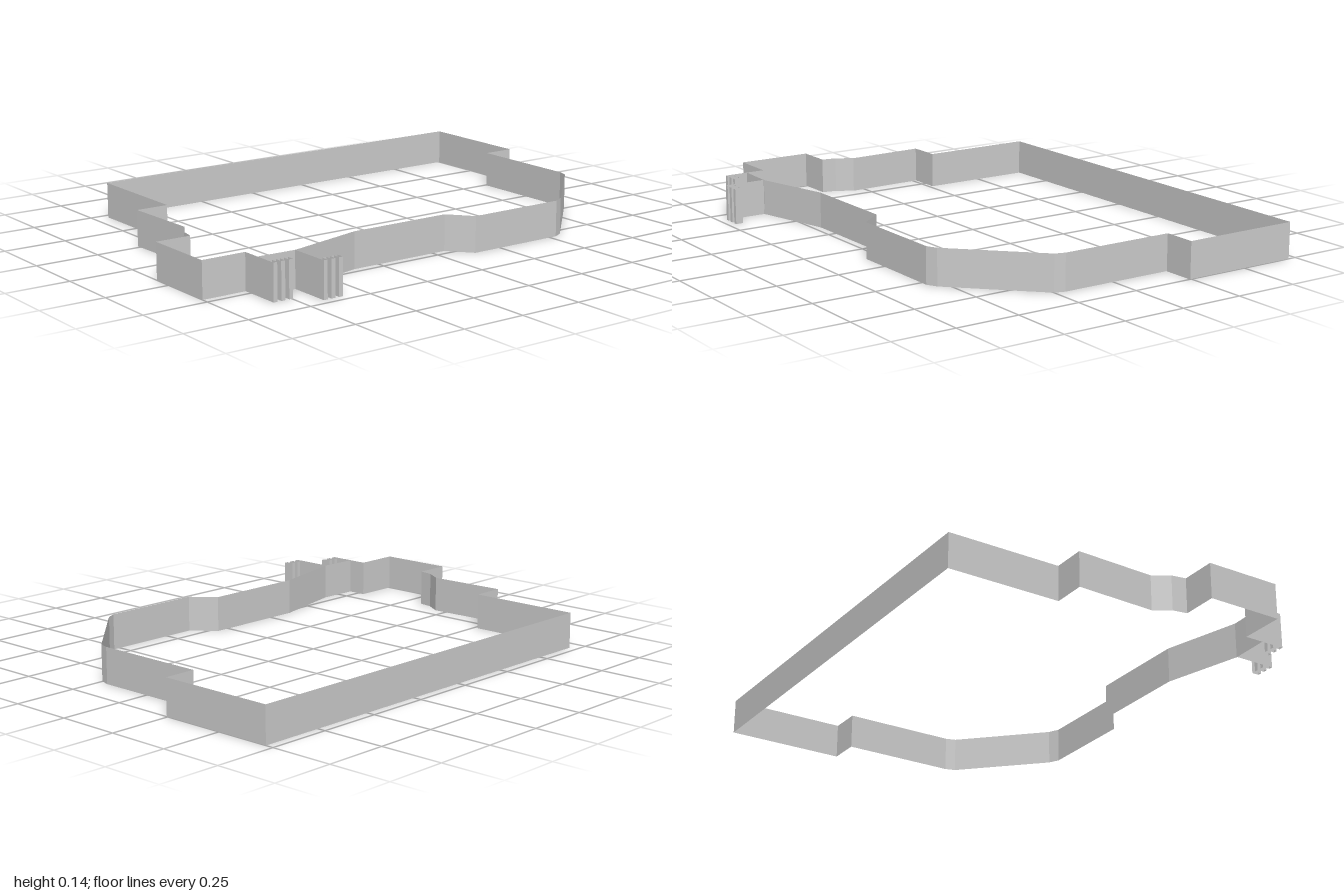
import * as THREE from 'three';

const HEIGHT = 0.14;
const material = new THREE.MeshStandardMaterial({
  color: 0xcccccc, flatShading: true, side: THREE.DoubleSide,
});

// Thin upright wall standing on a path of [x, z] points
function wall(name, path) {
  const positions = [];
  for (let i = 0; i < path.length - 1; i++) {
    const [ax, az] = path[i];
    const [bx, bz] = path[i + 1];
    positions.push(
      ax, 0, az, bx, 0, bz, bx, HEIGHT, bz,
      ax, 0, az, bx, HEIGHT, bz, ax, HEIGHT, az,
    );
  }
  const geometry = new THREE.BufferGeometry();
  geometry.setAttribute('position', new THREE.Float32BufferAttribute(positions, 3));
  geometry.computeVertexNormals();
  const mesh = new THREE.Mesh(geometry, material);
  mesh.name = name;
  return mesh;
}

// Straight arm ending in a comb of three square teeth
function combArm(name, startX, tipX, z) {
  const pitch = 0.016, depth = 0.03;
  const path = [[startX, z]];
  for (let i = 0; i < 3; i++) {
    const z0 = z - i * 2 * pitch;
    if (i > 0) path.push([tipX - depth, z0]);
    path.push([tipX, z0], [tipX, z0 - pitch], [tipX - depth, z0 - pitch]);
  }
  return wall(name, path);
}

export function createModel() {
  const group = new THREE.Group();
  group.name = 'outlineFrame';

  // Stepped front, from the left corner round to the right-hand arms
  group.add(wall('frontWall', [
    [-0.718, 0.69], [-0.265, 0.69], [-0.265, 0.82], [0.052, 0.81],
    [0.115, 0.85], [0.172, 0.86], [0.172, 1], [0.47, 1],
    [0.47, 0.825], [0.545, 0.825],
  ]));

  // Side with the waist and the bevelled shoulder
  group.add(wall('waistedSideWall', [
    [0.545, 0.825], [0.55, 0.67], [0.47, 0.36], [0.47, -0.055],
    [0.56, -0.13], [0.56, -0.53], [0.54, -0.57], [0.25, -0.86], [0.21, -0.872],
  ]));

  // Stepped back and long straight side
  group.add(wall('backWall', [
    [0.21, -0.872], [-0.245, -0.872], [-0.245, -1], [-0.718, -1],
  ]));
  group.add(wall('straightSideWall', [[-0.718, -1], [-0.718, 0.69]]));

  // Two toothed arms at the front corner
  group.add(combArm('frontCombArm', 0.545, 0.64, 0.825));
  group.add(combArm('rearCombArm', 0.55, 0.718, 0.673));

  return group;
}
